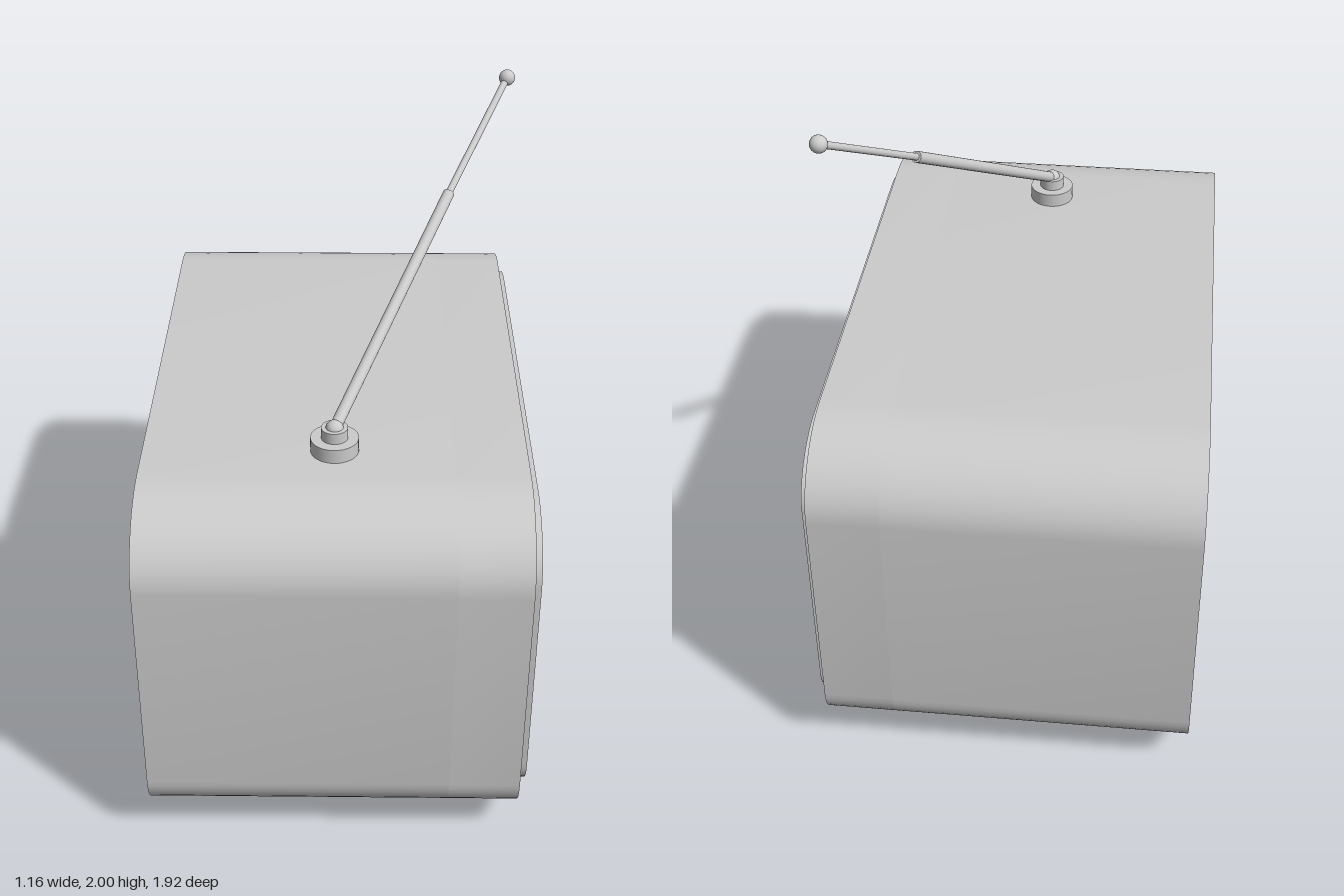
import * as THREE from 'three';
import { toCreasedNormals } from 'three/addons/utils/BufferGeometryUtils.js';

const material = new THREE.MeshStandardMaterial({ color: 0xcccccc });

function add(parent, name, geometry, x = 0, y = 0, z = 0) {
  const mesh = new THREE.Mesh(geometry, material);
  mesh.name = name;
  mesh.position.set(x, y, z);
  parent.add(mesh);
  return mesh;
}

// Rounded outline: half width w, bottom and top, corner width r, corner heights rb and rt
function outline(w, b, t, r, rb, rt, path = new THREE.Shape()) {
  const k = 0.45;
  path.moveTo(-w + r, b);
  path.lineTo(w - r, b);
  path.bezierCurveTo(w - r * k, b, w, b + rb * k, w, b + rb);
  path.lineTo(w, t - rt);
  path.bezierCurveTo(w, t - rt * k, w - r * k, t, w - r, t);
  path.lineTo(-w + r, t);
  path.bezierCurveTo(-w + r * k, t, -w, t - rt * k, -w, t - rt);
  path.lineTo(-w, b + rb);
  path.bezierCurveTo(-w, b + rb * k, -w + r * k, b, -w + r, b);
  return path;
}

// Extrude an outline along x
function extrudeX(shape, x0, x1) {
  const g = new THREE.ExtrudeGeometry(shape, { depth: x1 - x0, bevelEnabled: false, curveSegments: 14 });
  g.rotateY(Math.PI / 2);
  g.translate(x0, 0, 0);
  return toCreasedNormals(g, 0.5);
}

// Turned part whose axis points along +x; profile is [radius, height] pairs
function turned(profile, segments = 32) {
  const g = new THREE.LatheGeometry(profile.map(([r, h]) => new THREE.Vector2(r, h)), segments);
  g.rotateZ(-Math.PI / 2);
  return toCreasedNormals(g, 0.6);
}

function rod(parent, name, a, b, r0, r1) {
  const dir = b.clone().sub(a);
  const mesh = add(parent, name, new THREE.CylinderGeometry(r1, r0, dir.length(), 20));
  mesh.position.copy(a).add(b).multiplyScalar(0.5);
  mesh.quaternion.setFromUnitVectors(new THREE.Vector3(0, 1, 0), dir.normalize());
}

export function createModel() {
  const root = new THREE.Group();
  root.name = 'radio';

  // Cabinet: solid back and hollow front frame
  const body = () => outline(0.96, 0.075, 1.215, 0.28, 0.19, 0.23);
  const opening = () => outline(0.88, 0.15, 1.135, 0.23, 0.15, 0.17, new THREE.Path());
  add(root, 'cabinet', extrudeX(body(), -0.585, 0.34));
  const frame = body();
  frame.holes.push(opening());
  add(root, 'cabinetFrame', extrudeX(frame, 0.34, 0.555));

  // Raised rim around the opening
  const rim = outline(0.9, 0.13, 1.155, 0.24, 0.16, 0.18);
  rim.holes.push(opening());
  add(root, 'rim', extrudeX(rim, 0.54, 0.58));

  // Folded front panel, deepest at the crease
  const panel = new THREE.Shape([
    [0.3, 0.14], [0.48, 0.14], [0.48, 0.25], [0.375, 0.52], [0.455, 1.045], [0.455, 1.14], [0.3, 1.14],
  ].map(([x, y]) => new THREE.Vector2(x, y)));
  const panelGeometry = new THREE.ExtrudeGeometry(panel, { depth: 1.77, bevelEnabled: false });
  panelGeometry.translate(0, 0, -0.885);
  add(root, 'frontPanel', panelGeometry);

  // Display on the upper slope
  const display = add(root, 'display', new THREE.BoxGeometry(0.04, 0.525, 0.745), 0.415, 0.784, 0);
  display.rotation.z = -Math.atan2(0.08, 0.525);

  // Controls on the lower slope
  const tilt = Math.atan2(0.105, 0.27);
  const slopeX = (y) => 0.375 + 0.105 * (0.52 - y) / 0.27;
  const knob = turned([
    [0, -0.02], [0.112, -0.02], [0.112, 0.02], [0.1, 0.03], [0.09, 0.03], [0.085, 0.05],
    [0.066, 0.055], [0.066, 0.115], [0.058, 0.125], [0, 0.125],
  ]);
  for (const s of [1, -1]) {
    add(root, s > 0 ? 'leftKnob' : 'rightKnob', knob, slopeX(0.39), 0.39, s * 0.535).rotation.z = tilt;
  }
  const pushButton = turned([[0, -0.01], [0.022, -0.01], [0.022, 0.02], [0.016, 0.028], [0, 0.03]], 20);
  for (let i = -2; i <= 2; i++) {
    add(root, 'roundButton', pushButton, slopeX(0.345), 0.345, i * 0.11).rotation.z = tilt;
  }

  // Rectangular keys along the bottom
  for (const z of [-0.29, -0.097, 0.097, 0.29]) {
    add(root, 'key', new THREE.BoxGeometry(0.04, 0.053, 0.13), 0.48, 0.197, z);
  }

  // Tapered feet
  const footGeometry = new THREE.CylinderGeometry(Math.SQRT2, Math.SQRT2 * 0.67, 0.09, 4).toNonIndexed();
  footGeometry.rotateY(Math.PI / 4);
  footGeometry.scale(0.06, 1, 0.041);
  footGeometry.computeVertexNormals();
  for (const x of [-0.24, 0.215]) {
    for (const z of [-0.69, 0.69]) add(root, 'foot', footGeometry, x, 0.045, z);
  }

  // Telescopic antenna
  const antenna = new THREE.Group();
  antenna.name = 'antenna';
  root.add(antenna);
  const [bx, bz] = [-0.015, 0.548];
  add(antenna, 'antennaBase', new THREE.CylinderGeometry(0.072, 0.072, 0.055, 32), bx, 1.2325, bz);
  add(antenna, 'antennaCollar', new THREE.CylinderGeometry(0.04, 0.04, 0.04, 32), bx, 1.275, bz);
  add(antenna, 'antennaPivot', new THREE.SphereGeometry(0.027, 20, 14), bx, 1.29, bz);
  const foot = new THREE.Vector3(bx, 1.29, bz);
  const joint = new THREE.Vector3(0.335, 1.735, -0.135);
  const tip = new THREE.Vector3(0.533, 1.975, -0.512);
  rod(antenna, 'lowerRod', foot, joint, 0.018, 0.018);
  rod(antenna, 'upperRod', joint, tip, 0.011, 0.011);
  add(antenna, 'antennaTip', new THREE.SphereGeometry(0.026, 24, 16), tip.x, tip.y, tip.z);

  return root;
}
